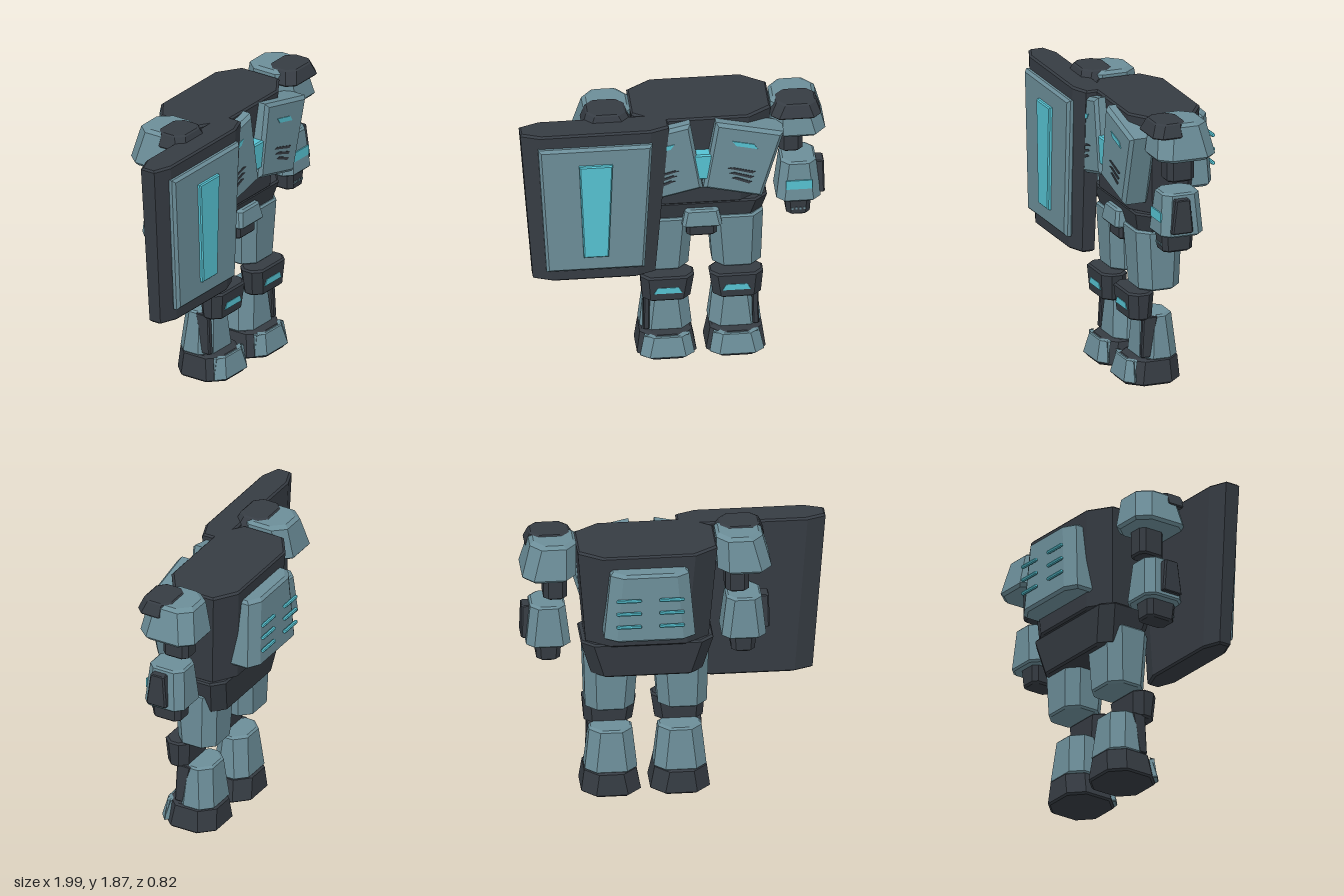
import * as THREE from 'three';

const MID = 0.187; // x of the body's mirror plane

export function createModel() {
  const model = new THREE.Group();
  model.name = 'armouredRobot';
  const mat = (name, color) => {
    const m = new THREE.MeshStandardMaterial({ color });
    m.name = name;
    m.flatShading = true;
    return m;
  };
  const dark = mat('charcoal', 0x363c43);
  const steel = mat('steelBlue', 0x6c8e99);
  const glow = mat('cyan', 0x56c2d2);

  const add = (name, geo, material) => {
    const mesh = new THREE.Mesh(geo, material);
    mesh.name = name;
    model.add(mesh);
    return mesh;
  };
  const mx = (x, side) => (side < 0 ? 2 * MID - x : x);

  // Eight-sided armour block between two levels [y, x0, x1, z0, z1],
  // with corners cut by cx, cz and bevelled ends
  function block(name, material, bottom, top, cx, cz, bevel = 0.012, side = 1) {
    const inset = ([y, x0, x1, z0, z1], dy) => [y + dy, x0 + bevel, x1 - bevel, z0 + bevel, z1 - bevel];
    const lerp = (dy) => {
      const t = dy / (top[0] - bottom[0]);
      return bottom.map((v, i) => v + (top[i] - v) * t);
    };
    const h = top[0] - bottom[0];
    const levels = [inset(bottom, 0), lerp(bevel), lerp(h - bevel), inset(top, 0)];
    const rings = levels.map(([y, a, b, z0, z1]) => {
      const x0 = side < 0 ? mx(b, side) : a, x1 = side < 0 ? mx(a, side) : b;
      return [
        [x0 + cx, y, z1], [x1 - cx, y, z1], [x1, y, z1 - cz], [x1, y, z0 + cz],
        [x1 - cx, y, z0], [x0 + cx, y, z0], [x0, y, z0 + cz], [x0, y, z1 - cz],
      ];
    });
    const pos = [];
    const tri = (a, b, c) => pos.push(...a, ...b, ...c);
    for (let r = 0; r < rings.length - 1; r++) {
      const lo = rings[r], hi = rings[r + 1];
      for (let i = 0; i < 8; i++) {
        const j = (i + 1) % 8;
        tri(lo[i], lo[j], hi[j]);
        tri(lo[i], hi[j], hi[i]);
      }
    }
    const first = rings[0], last = rings[rings.length - 1];
    for (let i = 1; i < 7; i++) {
      tri(first[0], first[i + 1], first[i]);
      tri(last[0], last[i], last[i + 1]);
    }
    const geo = new THREE.BufferGeometry();
    geo.setAttribute('position', new THREE.Float32BufferAttribute(pos, 3));
    geo.computeVertexNormals();
    return add(name, geo, material);
  }

  // Flat outline in x, y extruded from z0 to z1
  function plate(name, material, pts, z0, z1, side = 1, bevel = 0) {
    const shape = new THREE.Shape(pts.map(([x, y]) => new THREE.Vector2(mx(x, side), y)));
    const geo = new THREE.ExtrudeGeometry(shape, {
      depth: z1 - z0 - 2 * bevel, bevelEnabled: bevel > 0, bevelSegments: 1,
      bevelThickness: bevel, bevelSize: bevel, bevelOffset: -bevel,
    });
    geo.translate(0, 0, z0 + bevel);
    return add(name, geo, material);
  }

  // Trunk
  block('torso', dark, [1.15, -0.21, 0.585, -0.23, 0.2], [1.825, -0.265, 0.64, -0.27, 0.23], 0.15, 0.1);
  block('waist', dark, [0.9, -0.17, 0.545, -0.17, 0.14], [1.16, -0.245, 0.62, -0.205, 0.2], 0.08, 0.07);
  block('pelvisBlock', dark, [0.9, 0.09, 0.284, 0.05, 0.2], [1.02, 0.09, 0.284, 0.05, 0.2], 0.02, 0.02);
  block('pelvisPlate', steel, [0.99, 0.055, 0.32, 0.12, 0.245], [1.112, 0.08, 0.294, 0.12, 0.225], 0.02, 0.02);
  plate('chestGem', glow, [[0.112, 1.578], [0.262, 1.578], [0.242, 1.39], [0.132, 1.39]], 0.18, 0.29, 1, 0.01);

  // Backpack with six vent bars
  block('backpack', steel, [1.26, -0.107, 0.487, -0.385, -0.15], [1.737, -0.065, 0.44, -0.365, -0.15], 0.08, 0.05, 0.018);
  for (const x of [0.052, 0.33]) {
    for (const y of [1.385, 1.48, 1.573]) {
      const bar = add('backpackVent', new THREE.CapsuleGeometry(0.013, 0.14, 4, 8), glow);
      bar.rotation.z = Math.PI / 2;
      bar.position.set(x, y, -0.4);
    }
  }

  for (const s of [1, -1]) {
    const part = (name, material, lo, hi, cx, cz, bevel) =>
      block((s > 0 ? 'left' : 'right') + name, material, lo, hi, cx, cz, bevel, s);
    const face = (name, material, pts, z0, z1, bevel) =>
      plate((s > 0 ? 'left' : 'right') + name, material, pts, z0, z1, s, bevel);

    // Chest armour with light slit and grille
    face('ChestPlate', steel, [[0.27, 1.82], [0.71, 1.72], [0.567, 1.235], [0.188, 1.325]], 0.12, 0.3, 0.022);
    face('ChestLight', glow, [[0.375, 1.682], [0.515, 1.65], [0.54, 1.612], [0.4, 1.645]], 0.297, 0.305);
    for (let i = 0; i < 3; i++) {
      const a = 0.345 + i * 0.012, b = 0.525 - i * 0.012, y = 1.475 - i * 0.038;
      face('ChestGrille', dark, [[a, y], [a + 0.03, y + 0.006], [b, y - 0.035], [b - 0.02, y - 0.048]], 0.297, 0.304);
    }

    // Arm
    part('ShoulderPad', steel, [1.617, 0.645, 1.0, -0.2, 0.21], [1.86, 0.64, 0.935, -0.15, 0.17], 0.07, 0.08, 0.02);
    part('ShoulderCap', dark, [1.775, 0.632, 0.965, 0, 0.235], [1.868, 0.68, 0.93, 0, 0.2], 0.05, 0.05, 0.008);
    part('UpperArm', dark, [1.44, 0.7, 0.852, -0.09, 0.095], [1.68, 0.7, 0.852, -0.09, 0.095], 0.03, 0.03);
    part('Forearm', steel, [1.105, 0.675, 0.965, -0.115, 0.18], [1.392, 0.71, 0.935, -0.095, 0.155], 0.05, 0.05);
    part('ForearmGuard', dark, [1.137, 0.93, 0.992, -0.02, 0.13], [1.362, 0.92, 0.988, 0, 0.1], 0.01, 0.01, 0.006);
    face('ForearmLight', glow, [[0.735, 1.2], [0.905, 1.2], [0.905, 1.265], [0.735, 1.265]], 0.167, 0.176);
    part('Hand', dark, [0.985, 0.742, 0.893, -0.058, 0.145], [1.12, 0.732, 0.902, -0.065, 0.155], 0.03, 0.03);
    for (let i = 0; i < 4; i++) {
      const x = 0.772 + i * 0.026;
      face('Knuckle', steel, [[x, 1.03], [x + 0.014, 1.03], [x + 0.014, 1.046], [x, 1.046]], 0.147, 0.155);
    }

    // Leg
    part('Thigh', steel, [0.628, 0.265, 0.58, -0.115, 0.165], [1.035, 0.235, 0.592, -0.13, 0.19], 0.07, 0.07);
    part('Knee', dark, [0.435, 0.262, 0.57, 0.08, 0.235], [0.622, 0.235, 0.585, 0.07, 0.248], 0.05, 0.05);
    face('KneeLight', glow, [[0.318, 0.5], [0.5, 0.5], [0.478, 0.542], [0.34, 0.542]], 0.237, 0.246);
    part('Shin', steel, [0.16, 0.24, 0.582, -0.1, 0.16], [0.455, 0.272, 0.55, -0.072, 0.14], 0.07, 0.07);
    part('ShinStrut', dark, [0.18, 0.52, 0.562, 0.1, 0.165], [0.45, 0.518, 0.558, 0.05, 0.152], 0.008, 0.008, 0.005);
    part('Foot', dark, [0, 0.215, 0.605, -0.12, 0.262], [0.17, 0.248, 0.582, -0.11, 0.235], 0.09, 0.09);
    part('ToePlate', steel, [0.022, 0.235, 0.59, 0.17, 0.277], [0.165, 0.262, 0.558, 0.17, 0.244], 0.06, 0.05, 0.006);
  }

  // Shield carried on the right arm
  block('shield', dark, [0.705, -0.915, -0.125, 0.165, 0.34], [1.825, -1.0, -0.035, 0.155, 0.35], 0.12, 0.045);
  plate('shieldPanel', steel, [[-0.89, 1.735], [-0.15, 1.735], [-0.2, 0.8], [-0.835, 0.8]], 0.325, 0.384, 1, 0.018);
  plate('shieldStripe', glow, [[-0.627, 1.613], [-0.41, 1.613], [-0.435, 0.915], [-0.597, 0.915]], 0.37, 0.408, 1, 0.008);

  return model;
}
